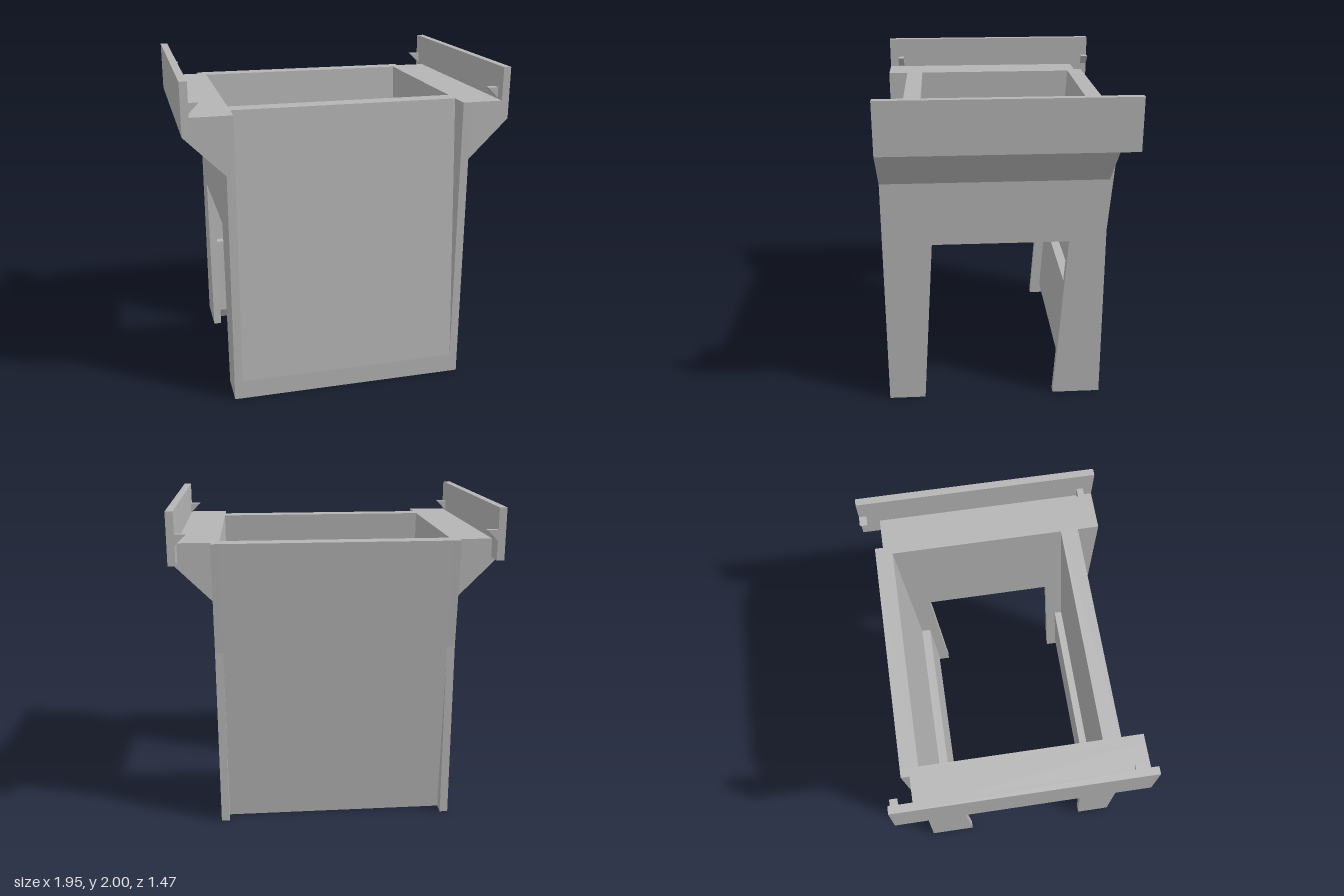
import * as THREE from 'three';

const plastic = new THREE.MeshStandardMaterial({ color: 0xb4b4b4 });
plastic.name = 'grey plastic';

function extrude(points, depth) {
  const shape = new THREE.Shape(points.map(([a, b]) => new THREE.Vector2(a, b)));
  return new THREE.ExtrudeGeometry(shape, { depth, bevelEnabled: false });
}

// Profile in (z, y), extruded along x from x0 to x1
function alongX(points, x0, x1) {
  return extrude(points, x1 - x0).rotateY(-Math.PI / 2).translate(x1, 0, 0);
}

// Profile in (x, y), extruded along z from z0 to z1
function alongZ(points, z0, z1) {
  return extrude(points, z1 - z0).translate(0, 0, z0);
}

export function createModel() {
  const model = new THREE.Group();
  model.name = 'hopper stand';
  const add = (name, geometry) => {
    const mesh = new THREE.Mesh(geometry, plastic);
    mesh.name = name;
    model.add(mesh);
  };

  const inner = 0.685, outer = 0.735;

  // Leaning front panel, thicker below an inside ledge, chamfered at the foot
  add('frontPanel', alongX([
    [0.735, 0], [0.735, 0.12], [0.605, 1.8], [0.497, 1.8],
    [0.585, 0.6], [0.535, 0.6], [0.573, 0.07], [0.62, 0],
  ], -inner, inner));

  // Leaning back panel with the same ledge and chamfer
  add('backPanel', alongX([
    [-0.53, 0], [-0.665, 1.8], [-0.56, 1.8],
    [-0.48, 0.6], [-0.42, 0.6], [-0.385, 0.07], [-0.42, 0],
  ], -inner, inner));

  // Side wall with a tapered leg opening
  const wall = [
    [0.735, 0], [0.735, 1.8], [-0.665, 1.8], [-0.61, 1.13], [-0.61, 0],
    [-0.31, 0], [-0.385, 1.06], [0.44, 1.06], [0.51, 0],
  ];
  // Flared bracket carrying the shelf
  const bracket = [[outer, 1.45], [0.975, 1.69], [0.93, 1.69], [0.93, 1.8], [outer, 1.8]];
  const rail = [[0.93, 1.69], [0.975, 1.69], [0.975, 2], [0.93, 2]];
  const hook = [[0.93, 1.805], [0.93, 1.87], [0.865, 1.87]];

  for (const [side, s] of [['left', 1], ['right', -1]]) {
    const mirror = (points) => points.map(([x, y]) => [s * x, y]);
    add(side + 'Wall', s > 0 ? alongX(wall, inner, outer) : alongX(wall, -outer, -inner));
    add(side + 'Bracket', alongZ(mirror(bracket), -0.615, 0.735));
    add(side + 'Rail', alongZ(mirror(rail), -0.735, 0.735));
    add(side + 'FrontHook', alongZ(mirror(hook), 0.635, 0.675));
    add(side + 'BackHook', alongZ(mirror(hook), -0.735, -0.69));
  }
  return model;
}
